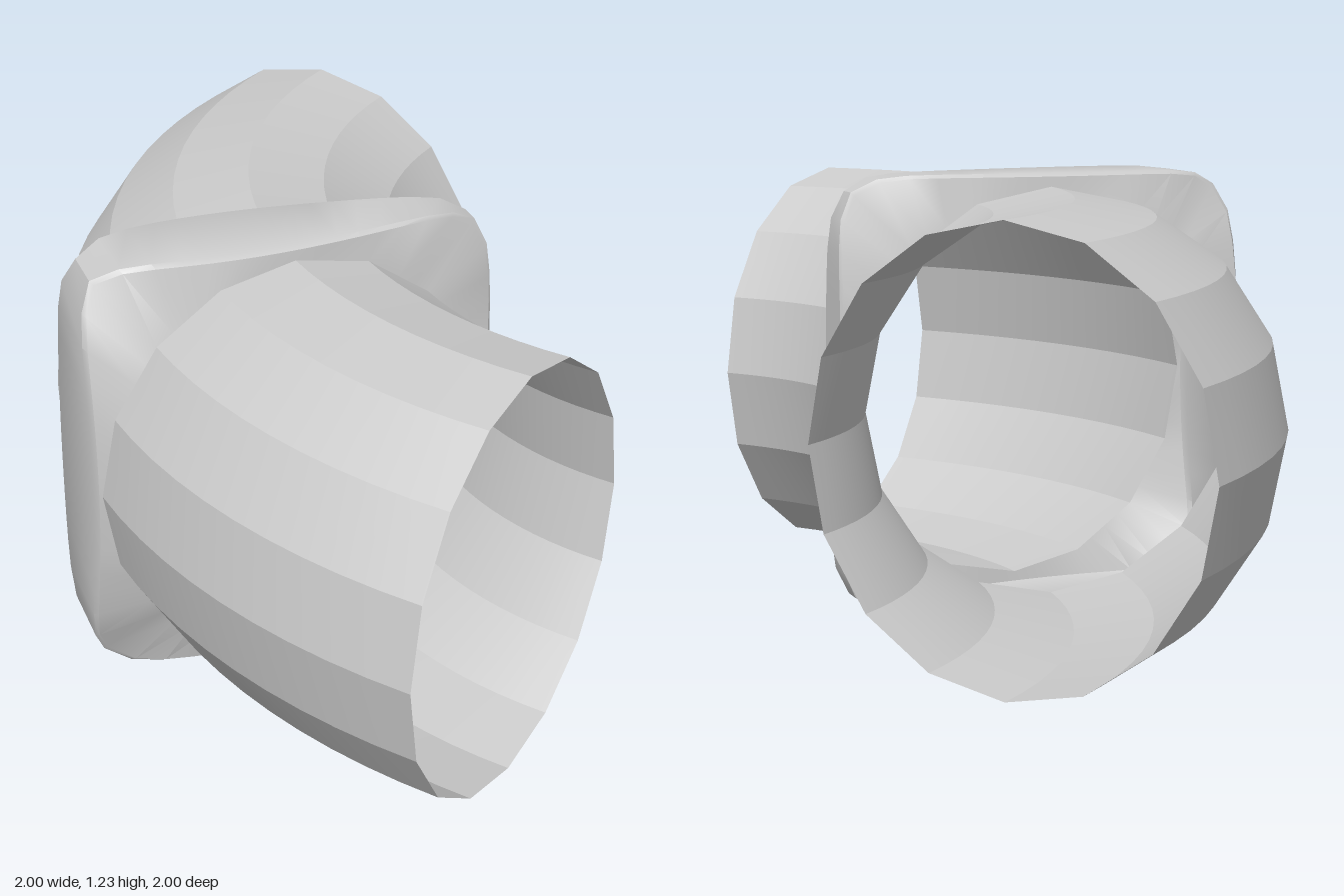
import * as THREE from 'three';
import { toCreasedNormals } from 'three/addons/utils/BufferGeometryUtils.js';

const RAD = Math.PI / 180;
const BEND = 1.445;   // radius of the pipe's centre line about the bend centre (1, -1)
const MID = 0.62;     // height of the centre line
const SIDES = 16;
const COLLAR = 50.7;  // angle of the collar along the bend
const HALF = 5.6;     // half of the angle the collar covers

// Point on the bend: angle along it, distance from its centre, height
const onBend = (deg, rho, y) => [1 - rho * Math.cos(deg * RAD), y, -1 + rho * Math.sin(deg * RAD)];

// Skin a list of closed loops that all have the same number of points
function loft(loops, crease) {
  const n = loops[0].length;
  const index = [];
  for (let i = 0; i < loops.length - 1; i++) {
    for (let j = 0; j < n; j++) {
      const a = i * n + j, b = i * n + (j + 1) % n;
      index.push(a, b, a + n, b, b + n, a + n);
    }
  }
  const geo = new THREE.BufferGeometry();
  geo.setAttribute('position', new THREE.Float32BufferAttribute(loops.flat(2), 3));
  geo.setIndex(index);
  return toCreasedNormals(geo, crease);
}

// Point on the 16-sided pipe section; fractions lie on the straight sides
function section(k) {
  const f = k - Math.floor(k);
  const at = (i) => {
    const a = (i / SIDES) * Math.PI * 2;
    return [BEND + 0.555 * Math.cos(a), MID + 0.578 * Math.sin(a)];
  };
  const p = at(Math.floor(k)), q = at(Math.floor(k) + 1);
  return [p[0] + (q[0] - p[0]) * f, p[1] + (q[1] - p[1]) * f];
}

function pipe(from, to, steps) {
  const loops = [];
  for (let i = 0; i <= steps; i++) {
    const deg = from + ((to - from) * i) / steps;
    loops.push(Array.from({ length: SIDES }, (_, k) => onBend(deg, ...section(k))));
  }
  return loft(loops, 0.3);
}

// Hollow rounded-square collar, wedge shaped and thinner towards its corners
function collar() {
  const count = 64;
  const hole = (s) => Array.from({ length: count }, (_, j) =>
    onBend(COLLAR + s * HALF, ...section((j * SIDES) / count)));
  const rim = (s, scale, width) => Array.from({ length: count }, (_, j) => {
    const a = (j / count) * Math.PI * 2;
    const c = Math.cos(a), d = Math.sin(a);
    const r = scale * Math.pow(Math.abs(c) ** 9 + Math.abs(d) ** 9, -1 / 9);
    const u = Math.min(Math.abs(c), Math.abs(d)) / Math.max(Math.abs(c), Math.abs(d));
    const deg = COLLAR + s * width * (5.5 - 3.2 * u * u);
    return onBend(deg, 1.432 + 0.585 * r * c, MID + 0.615 * r * d);
  });
  return loft([
    hole(-1), rim(-1, 0.985, 1), rim(-1, 1, 0.88),
    rim(1, 1, 0.88), rim(1, 0.985, 1), hole(1),
  ], 0.6);
}

export function createModel() {
  const group = new THREE.Group();
  group.name = 'pipeElbow';
  const material = new THREE.MeshStandardMaterial({ color: 0xcccccc, side: THREE.DoubleSide });
  const add = (name, geo) => {
    const mesh = new THREE.Mesh(geo, material);
    mesh.name = name;
    group.add(mesh);
  };
  add('rearPipe', pipe(0, COLLAR - HALF, 12));
  add('sidePipe', pipe(COLLAR + HALF, 90, 10));
  add('collar', collar());
  return group;
}
